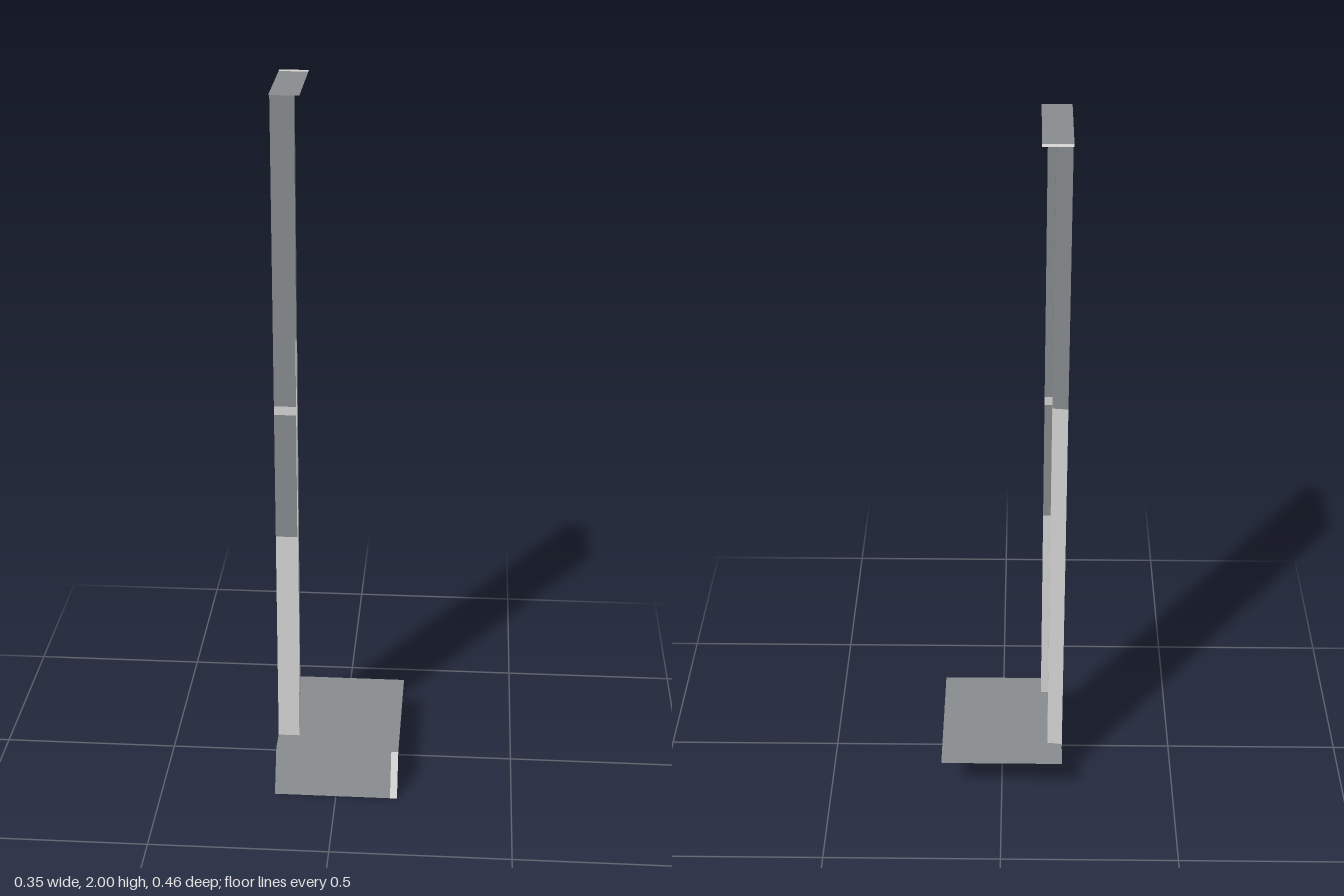
import * as THREE from 'three';

const darkGrey = new THREE.MeshStandardMaterial({ color: 0x8a8e90, side: THREE.DoubleSide });
const lightGrey = new THREE.MeshStandardMaterial({ color: 0xd8d8d8, side: THREE.DoubleSide });
darkGrey.name = 'dark grey';
lightGrey.name = 'light grey';

// Flat sheet spanned from corner a by the edges u and v; its front is u x v.
function sheet(name, material, a, u, v) {
  const corner = (s, t) => a.map((c, i) => c + s * u[i] + t * v[i]);
  const geometry = new THREE.BufferGeometry();
  geometry.setAttribute('position', new THREE.Float32BufferAttribute(
    [corner(0, 0), corner(1, 0), corner(1, 1), corner(0, 1)].flat(), 3));
  geometry.setIndex([0, 1, 2, 0, 2, 3]);
  geometry.computeVertexNormals();
  const mesh = new THREE.Mesh(geometry, material);
  mesh.name = name;
  return mesh;
}

// Upright sheet between two floor points [x, z], painted in bands of [top y, material].
function upright(name, [x0, z0], [x1, z1], bands) {
  const group = new THREE.Group();
  group.name = name;
  let y = 0.12;
  for (const [top, material] of bands) {
    group.add(sheet(name + 'Band', material, [x0, y, z0], [x1 - x0, 0, z1 - z0], [0, top - y, 0]));
    y = top;
  }
  return group;
}

export function createModel() {
  const model = new THREE.Group();
  model.name = 'foldedUpright';

  // Foot plate with its sloping front flap
  model.add(sheet('footPlate', darkGrey, [-0.175, 0.12, 0.175], [0.35, 0, 0], [0, 0, -0.405]));
  model.add(sheet('frontFlap', darkGrey, [-0.175, 0, 0.23], [0.33, 0, 0], [0, 0.12, -0.055]));
  model.add(sheet('flapEdgeStripe', lightGrey, [0.155, 0, 0.23], [0.02, 0, 0], [0, 0.12, -0.055]));
  model.add(sheet('undersideStripe', lightGrey, [-0.17, 0.117, -0.225], [0.33, 0, 0], [0, 0, 0.07]));

  // Column: side web, front flange and folded rear lip
  const sideBands = [[1.25, lightGrey], [2, darkGrey]];
  model.add(upright('sideWeb', [-0.175, 0.105], [-0.175, -0.155], sideBands));
  model.add(upright('frontFlange', [-0.175, 0.105], [-0.115, 0.105],
    [[0.76, lightGrey], [1.125, darkGrey], [1.15, lightGrey], [2, darkGrey]]));
  model.add(upright('rearLip', [-0.175, -0.14], [-0.133, -0.135], sideBands));
  model.add(upright('rearLipReturn', [-0.133, -0.11], [-0.133, -0.135], sideBands));

  // Top cap with a light rear edge
  model.add(sheet('topCap', darkGrey, [-0.177, 2, 0.115], [0.079, 0, 0], [0, 0, -0.268]));
  model.add(sheet('capRearStripe', lightGrey, [-0.177, 2, -0.153], [0.079, 0, 0], [0, 0, -0.019]));

  return model;
}
